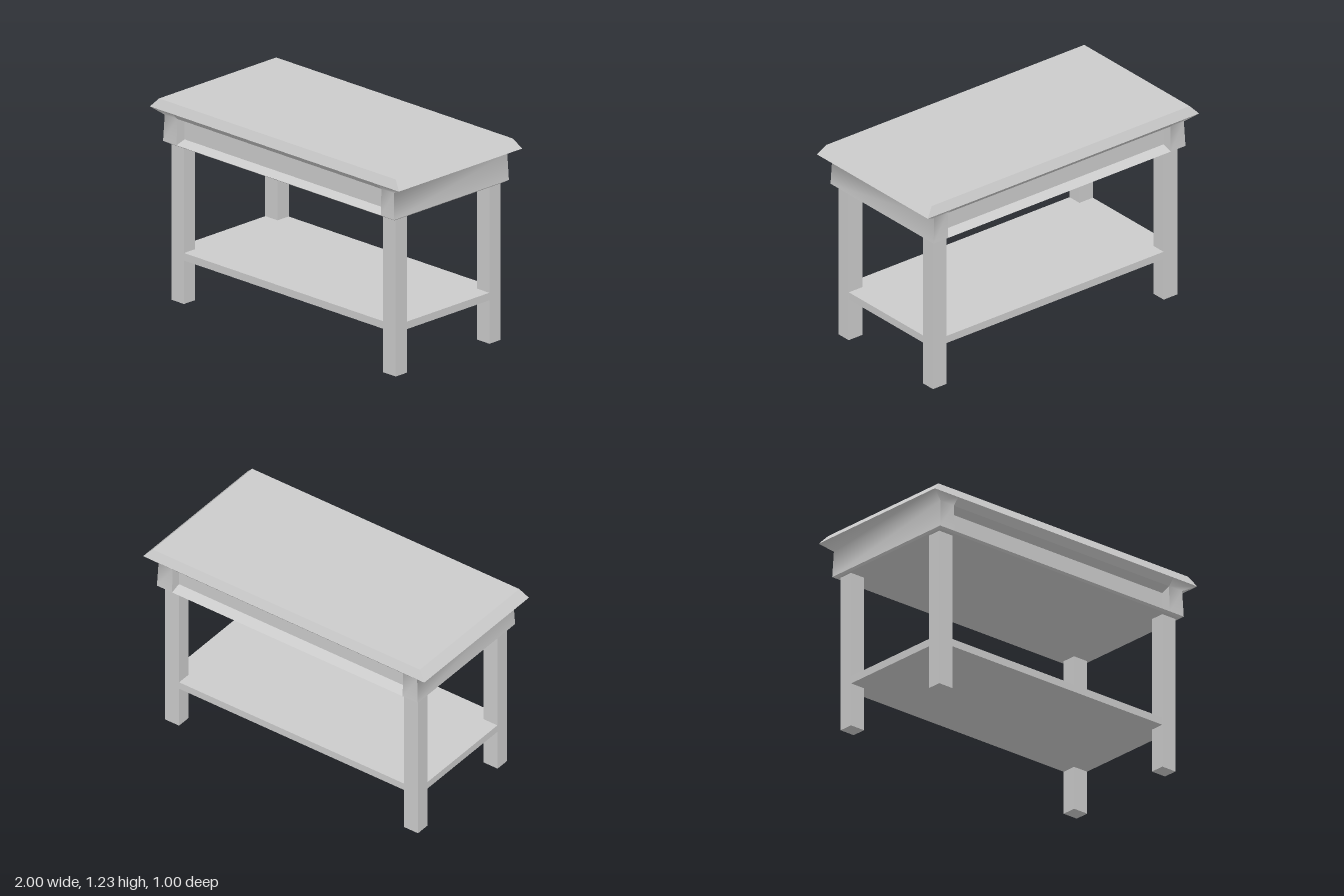
import * as THREE from 'three';

const material = new THREE.MeshStandardMaterial({ color: 0xcccccc, side: THREE.DoubleSide });

// Surface through rows of points (rows run upward, points run left to right seen from outside).
function sheet(rows) {
  const n = rows[0].length, index = [];
  for (let r = 0; r < rows.length - 1; r++) {
    for (let c = 0; c < n - 1; c++) {
      const a = r * n + c, b = a + 1, d = a + n, e = d + 1;
      index.push(a, b, e, a, e, d);
    }
  }
  const geometry = new THREE.BufferGeometry();
  geometry.setAttribute('position', new THREE.Float32BufferAttribute(rows.flat(2), 3));
  geometry.setIndex(index);
  geometry.computeVertexNormals();
  return geometry;
}

function add(parent, name, geometry, x = 0, y = 0, z = 0) {
  const mesh = new THREE.Mesh(geometry, material);
  mesh.name = name;
  mesh.position.set(x, y, z);
  parent.add(mesh);
  return mesh;
}

// Outline of the table top, bottom to top: [half width, y, half depth]
const BASE = [0.915, 0.96, 0.45];
const SKIRT = [0.928, 0.97, 0.465];
const NECK = [0.92, 1.13, 0.46];
const RIM = [1.0, 1.17, 0.5];
const TOP = [0.95, 1.225, 0.475];
const RECESS_X = 0.82, RECESS_Z = 0.40;

const endRow = ([x, y, z]) => [[x, y, z], [x, y, -z]];
const frontRow = ([x, y, z]) => [[-x, y, z], [x, y, z]];

// Long side with a sunken panel between two corner blocks
function longSide() {
  const side = new THREE.Group();
  side.name = 'longSide';
  add(side, 'bottomBevel', sheet([BASE, SKIRT].map(frontRow)));
  add(side, 'topBevel', sheet([RIM, TOP].map(frontRow)));
  const blocks = [SKIRT, NECK, RIM];
  add(side, 'leftBlock', sheet(blocks.map(([x, y, z]) => [[RECESS_X, y, z], [x, y, z]])));
  add(side, 'rightBlock', sheet(blocks.map(([x, y, z]) => [[-x, y, z], [-RECESS_X, y, z]])));

  // Ledge, panel, sloping soffit and moulding above the recess
  const profile = [[0.97, 0.465], [0.99, RECESS_Z], [1.108, RECESS_Z], [1.13, 0.46], [1.17, 0.5]];
  const names = ['ledge', 'panel', 'soffit', 'moulding'];
  names.forEach((name, i) => {
    const rows = profile.slice(i, i + 2).map(([y, z]) => [[-RECESS_X, y, z], [RECESS_X, y, z]]);
    add(side, name, sheet(rows));
  });

  // End walls of the recess
  const corners = profile.slice(0, 4);
  for (const s of [-1, 1]) {
    const [a, b, c, d] = corners.map(([y, z]) => [s * RECESS_X, y, z]);
    add(side, 'recessEnd', sheet(s < 0 ? [[a, b], [d, c]] : [[b, a], [c, d]]));
  }
  return side;
}

// Short end with a smooth cove under the rim
function shortEnd() {
  const end = new THREE.Group();
  end.name = 'shortEnd';
  add(end, 'bottomBevel', sheet([BASE, SKIRT].map(endRow)));
  add(end, 'cove', sheet([SKIRT, NECK, RIM].map(endRow)));
  add(end, 'topBevel', sheet([RIM, TOP].map(endRow)));
  return end;
}

export function createModel() {
  const table = new THREE.Group();
  table.name = 'table';

  // Table top
  const top = new THREE.Group();
  top.name = 'tableTop';
  table.add(top);
  for (const angle of [0, Math.PI]) {
    for (const part of [longSide(), shortEnd()]) {
      part.rotation.y = angle;
      top.add(part);
    }
  }
  const [tx, ty, tz] = TOP, [bx, by, bz] = BASE;
  add(top, 'surface', sheet([[[-tx, ty, tz], [tx, ty, tz]], [[-tx, ty, -tz], [tx, ty, -tz]]]));
  add(top, 'underside', sheet([[[-bx, by, -bz], [bx, by, -bz]], [[-bx, by, bz], [bx, by, bz]]]));

  // Square legs
  for (const [zName, sz] of [['front', 1], ['back', -1]]) {
    for (const [xName, sx] of [['Left', 1], ['Right', -1]]) {
      add(table, `${zName}${xName}Leg`, new THREE.BoxGeometry(0.1, 0.96, 0.09), sx * 0.85, 0.48, sz * 0.38);
    }
  }

  // Lower shelf, flush with the outer faces of the legs
  add(table, 'shelf', new THREE.BoxGeometry(1.798, 0.046, 0.848), 0, 0.287, 0);
  return table;
}
